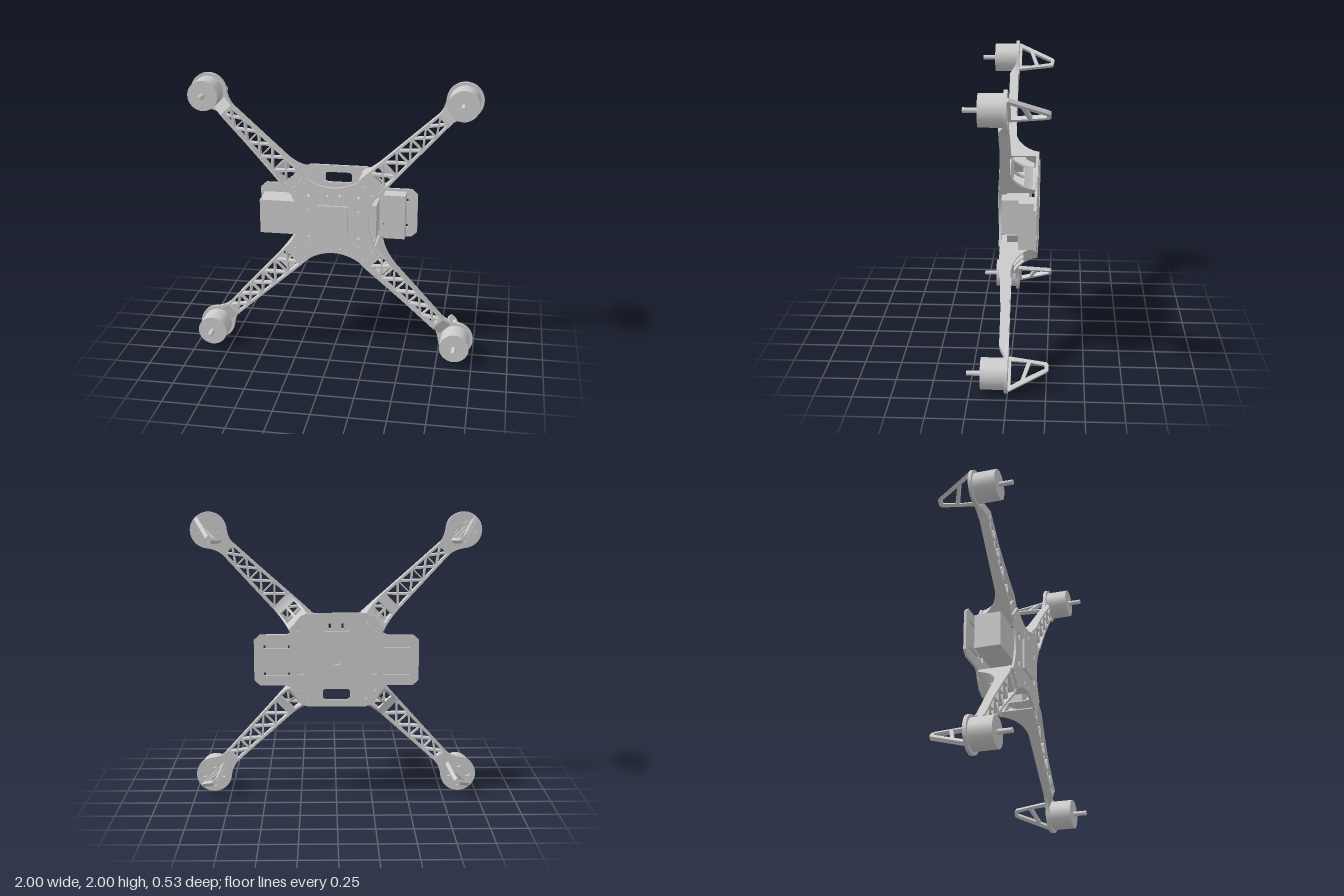
import * as THREE from 'three';

const material = new THREE.MeshStandardMaterial({ color: 0xcccccc, side: THREE.DoubleSide });
const ARM_IN = 0.335, ARM_OUT = 1.06, MOTOR_R = 1.237;

function add(parent, name, geometry, x = 0, y = 0, z = 0) {
  const mesh = new THREE.Mesh(geometry, material);
  mesh.name = name;
  mesh.position.set(x, y, z);
  parent.add(mesh);
  return mesh;
}

// Box given by its two opposite corners
function block(parent, name, x0, x1, y0, y1, z0, z1) {
  return add(parent, name, new THREE.BoxGeometry(x1 - x0, y1 - y0, z1 - z0),
    (x0 + x1) / 2, (y0 + y1) / 2, (z0 + z1) / 2);
}

const polygon = pts => new THREE.Shape(pts.map(p => new THREE.Vector2(...p)));
const extrude = (shape, depth) =>
  new THREE.ExtrudeGeometry(shape, { depth, bevelEnabled: false, curveSegments: 20 });

// Turns a side profile (radius, z) into a slab centred across the arm
const sideSlab = (shape, thickness) =>
  extrude(shape, thickness).rotateX(Math.PI / 2).translate(0, thickness / 2, 0);

function circleHole(shape, x, y, r) {
  shape.holes.push(new THREE.Path().absarc(x, y, r, 0, Math.PI * 2, true));
}

function slotHole(shape, x, y, w, h) {
  const r = Math.min(w, h) * 0.3, a = w / 2, b = h / 2;
  const p = new THREE.Path();
  p.absarc(x + a - r, y + b - r, r, 0, Math.PI / 2);
  p.absarc(x - a + r, y + b - r, r, Math.PI / 2, Math.PI);
  p.absarc(x - a + r, y - b + r, r, Math.PI, Math.PI * 1.5);
  p.absarc(x + a - r, y - b + r, r, Math.PI * 1.5, Math.PI * 2);
  p.closePath();
  shape.holes.push(p);
}

// Full outline from the points of its +x +y quarter
function mirrored(q) {
  const r = [...q].reverse();
  return polygon([...q, ...r.map(([x, y]) => [-x, y]),
    ...q.map(([x, y]) => [-x, -y]), ...r.map(([x, y]) => [x, -y])]);
}

const halfWidth = r => THREE.MathUtils.mapLinear(r, ARM_IN, ARM_OUT, 0.088, 0.052);

function frontPlate() {
  const s = new THREE.Shape();
  s.moveTo(0.31, 0.2);
  s.lineTo(0.2, 0.31);
  s.quadraticCurveTo(0, 0.17, -0.2, 0.31);
  s.lineTo(-0.31, 0.2);
  s.quadraticCurveTo(-0.18, 0, -0.31, -0.2);
  s.lineTo(-0.2, -0.31);
  s.quadraticCurveTo(0, -0.17, 0.2, -0.31);
  s.lineTo(0.31, -0.2);
  s.quadraticCurveTo(0.18, 0, 0.31, 0.2);
  for (const i of [-1, 1]) for (const j of [-1, 1]) {
    circleHole(s, i * 0.205, j * 0.27, 0.011);
    circleHole(s, i * 0.27, j * 0.208, 0.011);
    circleHole(s, i * 0.175, j * 0.178, 0.01);
    slotHole(s, i * 0.175, j * 0.1, 0.032, 0.052);
    slotHole(s, i * 0.045, j * 0.192, 0.015, 0.034);
  }
  return extrude(s, 0.016);
}

function backPlate() {
  const s = mirrored([[0.565, 0.14], [0.525, 0.177], [0.35, 0.177], [0.32, 0.19],
    [0.305, 0.215], [0.29, 0.25], [0.25, 0.305], [0.2, 0.328]]);
  circleHole(s, 0, 0, 0.035);
  for (const i of [-1, 1]) {
    slotHole(s, i * 0.25, 0, 0.055, 0.2);
    slotHole(s, 0, i * 0.24, 0.19, 0.075);
    for (const j of [-1, 1]) {
      slotHole(s, i * 0.41, j * 0.095, 0.18, 0.022);
      circleHole(s, i * 0.205, j * 0.27, 0.009);
      circleHole(s, i * 0.265, j * 0.208, 0.009);
    }
  }
  return extrude(s, 0.018);
}

// Side rail that sweeps down into the foot, leaning with the arm's taper
function rail(side) {
  const s = new THREE.Shape();
  s.moveTo(ARM_IN, -0.155);
  s.lineTo(0.375, -0.155);
  s.quadraticCurveTo(0.42, -0.02, 0.54, 0);
  s.lineTo(ARM_OUT, 0);
  s.lineTo(ARM_OUT, 0.06);
  s.lineTo(0.82, 0.06);
  s.quadraticCurveTo(0.6, 0.07, 0.45, 0.083);
  s.lineTo(ARM_IN, 0.076);
  const g = sideSlab(s, 0.015);
  const p = g.attributes.position;
  for (let i = 0; i < p.count; i++)
    p.setY(i, p.getY(i) + side * (halfWidth(p.getX(i)) - 0.0075));
  g.computeVertexNormals();
  return g;
}

// Bar of the lattice between two points
function bar(parent, a, b, z0, z1, width = 0.013) {
  const dx = b[0] - a[0], dy = b[1] - a[1];
  const m = add(parent, 'latticeBar', new THREE.BoxGeometry(Math.hypot(dx, dy), width, z1 - z0),
    (a[0] + b[0]) / 2, (a[1] + b[1]) / 2, (z0 + z1) / 2);
  m.rotation.z = Math.atan2(dy, dx);
}

function motorMount() {
  const s = new THREE.Shape();
  const a = 2.2, R = 0.125;
  s.moveTo(-0.19, -0.052);
  s.quadraticCurveTo(-0.13, -0.055, R * Math.cos(a), -R * Math.sin(a));
  s.absarc(0, 0, R, -a, a);
  s.quadraticCurveTo(-0.13, 0.055, -0.19, 0.052);
  circleHole(s, 0, 0, 0.025);
  for (let i = 0; i < 4; i++) {
    const t = Math.PI / 4 + i * Math.PI / 2;
    circleHole(s, 0.068 * Math.cos(t), 0.068 * Math.sin(t), 0.02);
  }
  return extrude(s, 0.024);
}

function landingLeg() {
  const s = polygon([[-0.115, 0], [0.118, 0], [0.118, -0.012], [-0.01, -0.245],
    [-0.025, -0.265], [-0.065, -0.265], [-0.08, -0.25]]);
  s.holes.push(polygon([[-0.085, -0.022], [0.08, -0.022], [0.045, -0.085], [-0.078, -0.125]]));
  s.holes.push(polygon([[-0.073, -0.15], [0.03, -0.113], [-0.036, -0.24], [-0.058, -0.24]]));
  return sideSlab(s, 0.028);
}

// Curved strip under the arm between the rails, following the foot's sweep
function footStrip(t0, t1, width) {
  const c = new THREE.QuadraticBezierCurve(new THREE.Vector2(0.375, -0.155),
    new THREE.Vector2(0.42, -0.02), new THREE.Vector2(0.54, 0));
  const pts = [];
  for (let i = 0; i <= 6; i++) pts.push(c.getPoint(t0 + (t1 - t0) * i / 6));
  const inner = pts.map(p => [p.x - 0.009, p.y + 0.009]).reverse();
  return sideSlab(polygon([...pts.map(p => [p.x, p.y]), ...inner]), width);
}

function createArm() {
  const arm = new THREE.Group();
  arm.name = 'arm';
  add(arm, 'sideRail', rail(1));
  add(arm, 'sideRail', rail(-1));

  // Crossed lattice between the rails
  const cells = 5, start = 0.41, step = (ARM_OUT - start) / cells;
  for (let i = 0; i < cells; i++) {
    const r0 = start + i * step, r1 = r0 + step;
    const w0 = halfWidth(r0) - 0.008, w1 = halfWidth(r1) - 0.008;
    bar(arm, [r0, -w0], [r1, w1], 0.012, 0.06);
    bar(arm, [r0, w0], [r1, -w1], 0.012, 0.06);
    bar(arm, [r0, -w0], [r0, w0], 0.03, 0.06, 0.01);
  }

  // Foot, clamping pads and inner tongue
  add(arm, 'footStrip', footStrip(0, 0.3, 0.16));
  add(arm, 'footStrip', footStrip(0.75, 1, 0.14));
  add(arm, 'footRib', footStrip(0.25, 0.8, 0.016));
  block(arm, 'footPad', ARM_IN, 0.38, -0.083, 0.083, -0.155, -0.138);
  block(arm, 'clampPad', ARM_IN, 0.42, -0.08, 0.08, 0.055, 0.073);
  block(arm, 'clampTongue', 0.275, ARM_IN, -0.07, 0.07, 0.035, 0.073);

  // Motor end: sloped neck, mount, motor and landing leg
  const neck = polygon([[1.04, 0], [1.13, 0], [1.13, 0.024], [1.06, 0.06], [1.04, 0.06]]);
  add(arm, 'sloppedNeck', sideSlab(neck, 0.104)).name = 'slopedNeck';
  add(arm, 'motorMount', motorMount(), MOTOR_R, 0, -0.004);
  const cylinder = (r, h) => new THREE.CylinderGeometry(r, r, h, 40).rotateX(Math.PI / 2);
  add(arm, 'motor', cylinder(0.104, 0.157), MOTOR_R, 0, 0.0965);
  add(arm, 'motorShaft', cylinder(0.017, 0.1), MOTOR_R, 0, 0.22);
  add(arm, 'landingLeg', landingLeg(), MOTOR_R, 0, 0);
  return arm;
}

export function createModel() {
  const model = new THREE.Group();
  model.name = 'quadcopterFrame';
  const body = new THREE.Group();
  body.name = 'body';
  body.position.y = 1;
  model.add(body);

  add(body, 'frontPlate', frontPlate(), 0, 0, 0.073);
  add(body, 'backPlate', backPlate(), 0, 0, -0.173);
  block(body, 'controllerBox', -0.102, 0.102, -0.112, 0.112, 0.085, 0.103);
  block(body, 'battery', -0.523, 0.3, -0.122, 0.122, -0.112, 0.07);
  block(body, 'receiver', 0.335, 0.487, -0.16, 0.16, -0.156, -0.052);

  for (let i = 0; i < 4; i++) {
    const arm = createArm();
    arm.rotation.z = Math.PI / 4 + i * Math.PI / 2;
    body.add(arm);
  }
  return model;
}
